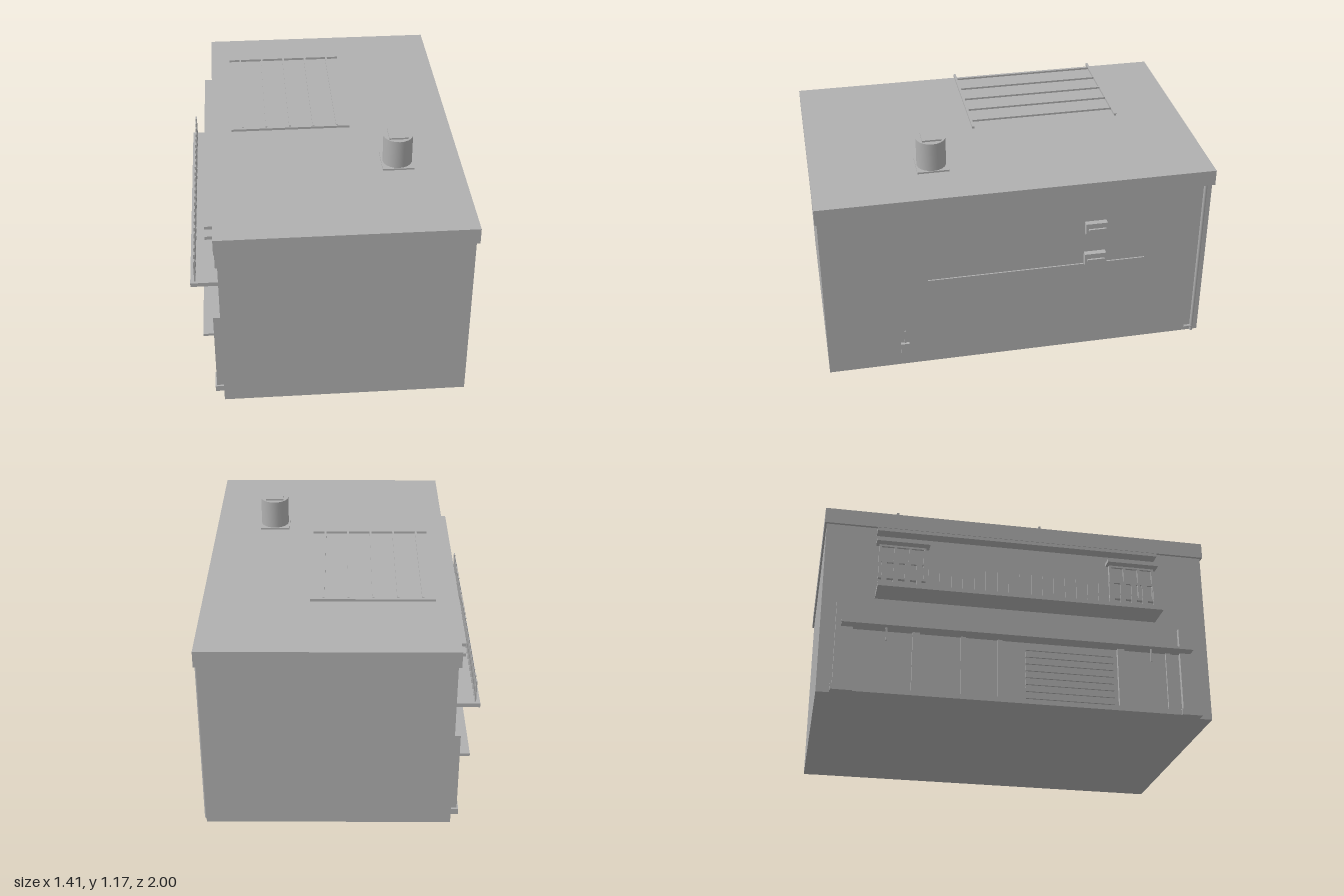
import * as THREE from 'three';

export function createModel() {
  const model = new THREE.Group();
  model.name = 'building';
  const grey = new THREE.MeshStandardMaterial({ color: 0xb0b0b0 });
  grey.name = 'plain grey';

  const add = (name, geometry, parent = model) => {
    const mesh = new THREE.Mesh(geometry, grey);
    mesh.name = name;
    parent.add(mesh);
    return mesh;
  };
  // Box given by its limits on each axis
  const box = (name, x0, x1, y0, y1, z0, z1, parent) => {
    const mesh = add(name, new THREE.BoxGeometry(x1 - x0, y1 - y0, z1 - z0), parent);
    mesh.position.set((x0 + x1) / 2, (y0 + y1) / 2, (z0 + z1) / 2);
    return mesh;
  };
  const group = (name) => {
    const g = new THREE.Group();
    g.name = name;
    model.add(g);
    return g;
  };

  // Main block and overhanging flat roof
  box('walls', -0.56, 0.665, 0, 0.925, -0.99, 0.99);
  box('roofSlab', -0.575, 0.68, 0.922, 1.005, -1, 1);

  // Roof vent
  const vent = group('roofVent');
  box('ventBase', 0.278, 0.438, 1.004, 1.014, 0.31, 0.47, vent);
  const drum = add('ventDrum', new THREE.CylinderGeometry(0.075, 0.075, 0.153, 20), vent);
  drum.position.set(0.36, 1.089, 0.39);
  box('ventCap', 0.31, 0.406, 1.164, 1.174, 0.342, 0.438, vent);

  // Raised roof frame
  const frame = group('roofFrame');
  for (const z of [-0.622, 0.137]) box('frameRail', -0.47, 0.14, 1.068, 1.08, z - 0.006, z + 0.006, frame);
  for (let i = 0; i < 5; i++) {
    const x = -0.41 + i * 0.1215;
    box('frameBar', x - 0.005, x + 0.005, 1.074, 1.084, -0.616, 0.131, frame);
  }

  // Upper windows with glazing bars and small hoods, mirrored along the street side
  for (const side of [-1, 1]) {
    const w = group('upperWindow');
    const wbox = (name, x0, x1, y0, y1, a, b) =>
      box(name, x0, x1, y0, y1, Math.min(a * side, b * side), Math.max(a * side, b * side), w);
    wbox('windowPane', -0.568, -0.559, 0.63, 0.82, 0.48, 0.72);
    for (const y of [0.63, 0.72, 0.81]) wbox('windowRail', -0.58, -0.56, y, y + 0.012, 0.48, 0.72);
    for (let i = 0; i < 4; i++) {
      const z = 0.48 + i * 0.076;
      wbox('windowStile', -0.58, -0.56, 0.63, 0.82, z, z + 0.012);
    }
    wbox('windowHood', -0.62, -0.56, 0.82, 0.838, 0.465, 0.735);
  }
  box('upperLedge', -0.62, -0.559, 0.877, 0.894, -0.735, 0.73);

  // Balcony with a row of slats
  const balcony = group('balcony');
  box('balconyFloor', -0.707, -0.559, 0.52, 0.542, -0.73, 0.72, balcony);
  const slats = 25;
  for (let i = 0; i < slats; i++) {
    const z = -0.7 + (i * 1.39) / (slats - 1);
    box('balconySlat', -0.687, -0.68, 0.54, 0.662, z - 0.013, z + 0.013, balcony);
  }

  // Ground floor shop front
  const shop = group('shopFront');
  box('shopPanel', -0.573, -0.559, 0.005, 0.475, -0.83, 0.83, shop);
  box('shopCanopy', -0.65, -0.572, 0.337, 0.35, -0.89, 0.885, shop);
  box('shopSill', -0.596, -0.56, 0, 0.025, -0.83, 0.83, shop);
  for (const side of [-1, 1]) {
    const z = 0.873 * side;
    box('pillar', -0.597, -0.559, 0.01, 0.475, z - 0.043, z + 0.043, shop);
    box('pillarFoot', -0.605, -0.559, 0, 0.032, z - 0.053, z + 0.053, shop);
    box('hangingRod', -0.622, -0.614, 0.27, 0.34, 0.67 * side - 0.004, 0.67 * side + 0.004, shop);
    box('shopPost', -0.592, -0.56, 0.02, 0.34, 0.52 * side - 0.018, 0.52 * side + 0.018, shop);
  }
  for (const z of [-0.285, -0.1, 0.77]) box('doorPost', -0.585, -0.56, 0.02, 0.34, z - 0.012, z + 0.012, shop);
  for (let i = 0; i < 8; i++) box('shutterSlat', -0.582, -0.56, 0.035 + i * 0.037, 0.062 + i * 0.037, 0.03, 0.48, shop);

  // Cooling units on the side wall
  for (const y of [0.74, 0.557]) {
    const unit = group('coolingUnit');
    box('unitBody', 0.66, 0.694, y - 0.032, y + 0.032, -0.448, -0.338, unit);
    box('unitBar', 0.69, 0.704, y - 0.006, y + 0.004, -0.44, -0.35, unit);
  }

  // Pipes and meter on the side wall
  box('wallConduit', 0.66, 0.672, 0.511, 0.519, -0.66, 0.465);
  box('meterBox', 0.66, 0.681, 0.076, 0.14, 0.572, 0.615);
  box('meterConduit', 0.66, 0.67, 0.14, 0.215, 0.588, 0.596);
  const pipe = add('downpipe', new THREE.CylinderGeometry(0.009, 0.009, 0.92, 10));
  pipe.position.set(0.669, 0.462, -0.955);
  const spout = add('pipeOutlet', new THREE.CylinderGeometry(0.007, 0.007, 0.04, 10));
  spout.rotation.x = Math.PI / 2;
  spout.position.set(0.672, 0.03, -0.935);

  return model;
}
